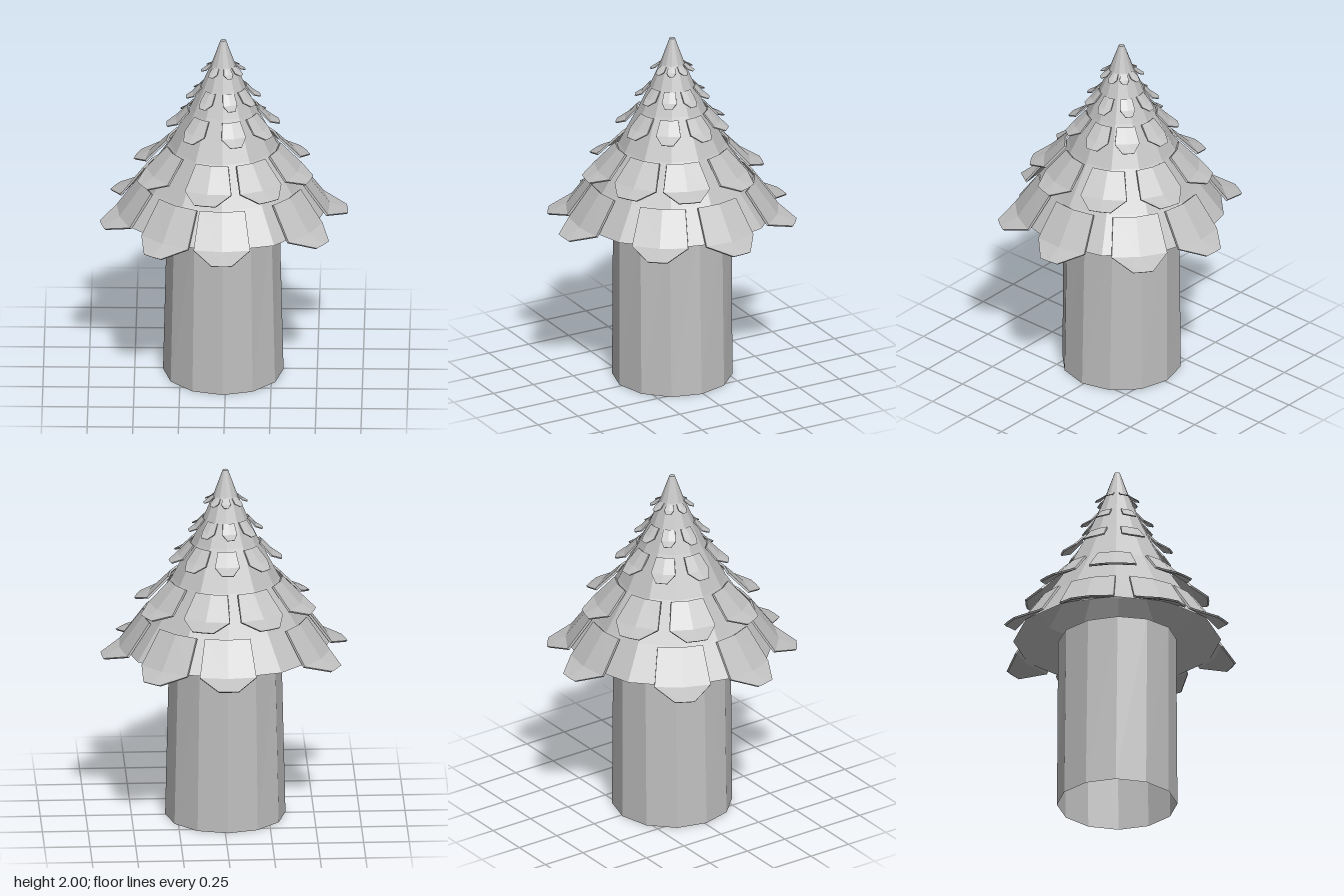
import * as THREE from 'three';

const CX = -0.015, CZ = 0.01;

// Bent shingle: three rows (top, shoulder, tip) of three points, with thickness
function shingleGeometry(rows, thick) {
  const pos = [];
  const layer = (lift) => rows.map(([w, r, y]) => [-1, 0, 1].map((s) => {
    const x = s * w;
    return [x, y + lift * 0.6, Math.sqrt(r * r - x * x) + lift * 0.8];
  }));
  const out = layer(thick), inn = layer(0);
  const quad = (a, b, c, d) => pos.push(...a, ...b, ...c, ...a, ...c, ...d);
  for (let i = 0; i < 2; i++) {
    for (let j = 0; j < 2; j++) {
      quad(out[i][j], out[i + 1][j], out[i + 1][j + 1], out[i][j + 1]);
      quad(inn[i][j], inn[i][j + 1], inn[i + 1][j + 1], inn[i + 1][j]);
    }
    // side edges
    quad(out[i][0], inn[i][0], inn[i + 1][0], out[i + 1][0]);
    quad(out[i][2], out[i + 1][2], inn[i + 1][2], inn[i][2]);
    // top and tip edges
    quad(out[0][i], out[0][i + 1], inn[0][i + 1], inn[0][i]);
    quad(out[2][i], inn[2][i], inn[2][i + 1], out[2][i + 1]);
  }
  const g = new THREE.BufferGeometry();
  g.setAttribute('position', new THREE.Float32BufferAttribute(pos, 3));
  g.computeVertexNormals();
  return g;
}

export function createModel() {
  const model = new THREE.Group();
  model.name = 'shingledTower';
  const stone = new THREE.MeshStandardMaterial({
    color: 0xc0c0c0, flatShading: true, side: THREE.DoubleSide,
  });
  stone.name = 'light grey';

  const body = new THREE.Group();
  body.name = 'towerBody';
  body.position.set(CX, 0, CZ);
  model.add(body);

  // Open twelve-sided wall, slightly narrower across x at the top
  const wallGeo = new THREE.CylinderGeometry(0.33, 0.33, 0.99, 12, 1, true);
  wallGeo.translate(0, 0.495, 0);
  const p = wallGeo.attributes.position;
  for (let i = 0; i < p.count; i++) if (p.getY(i) > 0.5) p.setX(i, p.getX(i) * 0.93);
  const wall = new THREE.Mesh(wallGeo, stone);
  wall.name = 'wall';
  body.add(wall);

  // Hollow flared roof
  const profile = [[0.57, 0.99], [0.435, 1.17], [0.295, 1.38], [0.18, 1.6],
    [0.12, 1.73], [0.065, 1.86], [0.015, 2], [0, 2]];
  const roof = new THREE.Mesh(
    new THREE.LatheGeometry(profile.map(([r, y]) => new THREE.Vector2(r, y)), 12), stone);
  roof.name = 'roof';
  body.add(roof);

  // Shingle rows: [half width, radius, height] sections and facing angles in degrees
  const courses = [
    { rows: [[0.125, 0.445, 1.165], [0.155, 0.575, 0.985], [0.055, 0.675, 0.945]], thick: 0.012,
      angles: [0, 54, 95, 141, 179, -119, -76, -34] },
    { rows: [[0.09, 0.305, 1.375], [0.13, 0.42, 1.255], [0.06, 0.495, 1.22]], thick: 0.012,
      angles: [-11, 31, 72, 117, 163, -153, -109, -62] },
    { rows: [[0.05, 0.19, 1.585], [0.068, 0.255, 1.515], [0.032, 0.305, 1.485]], thick: 0.009,
      angles: [14, 56, 99, 138, 180, -136, -90, -38] },
    { rows: [[0.032, 0.122, 1.725], [0.04, 0.165, 1.675], [0.02, 0.2, 1.655]], thick: 0.007,
      angles: [14, 55, 97, 143, -174, -132, -88, -34] },
    { rows: [[0.018, 0.066, 1.852], [0.026, 0.095, 1.828], [0.013, 0.118, 1.815]], thick: 0.005,
      angles: [18, 58, 100, 140, 180, -135, -88, -35] },
  ];
  courses.forEach(({ rows, thick, angles }, n) => {
    const course = new THREE.Group();
    course.name = `shingleRow${n + 1}`;
    const geo = shingleGeometry(rows, thick);
    angles.forEach((a, i) => {
      const m = new THREE.Mesh(geo, stone);
      m.name = `shingle${i + 1}`;
      m.rotation.y = THREE.MathUtils.degToRad(a);
      course.add(m);
    });
    body.add(course);
  });
  return model;
}
